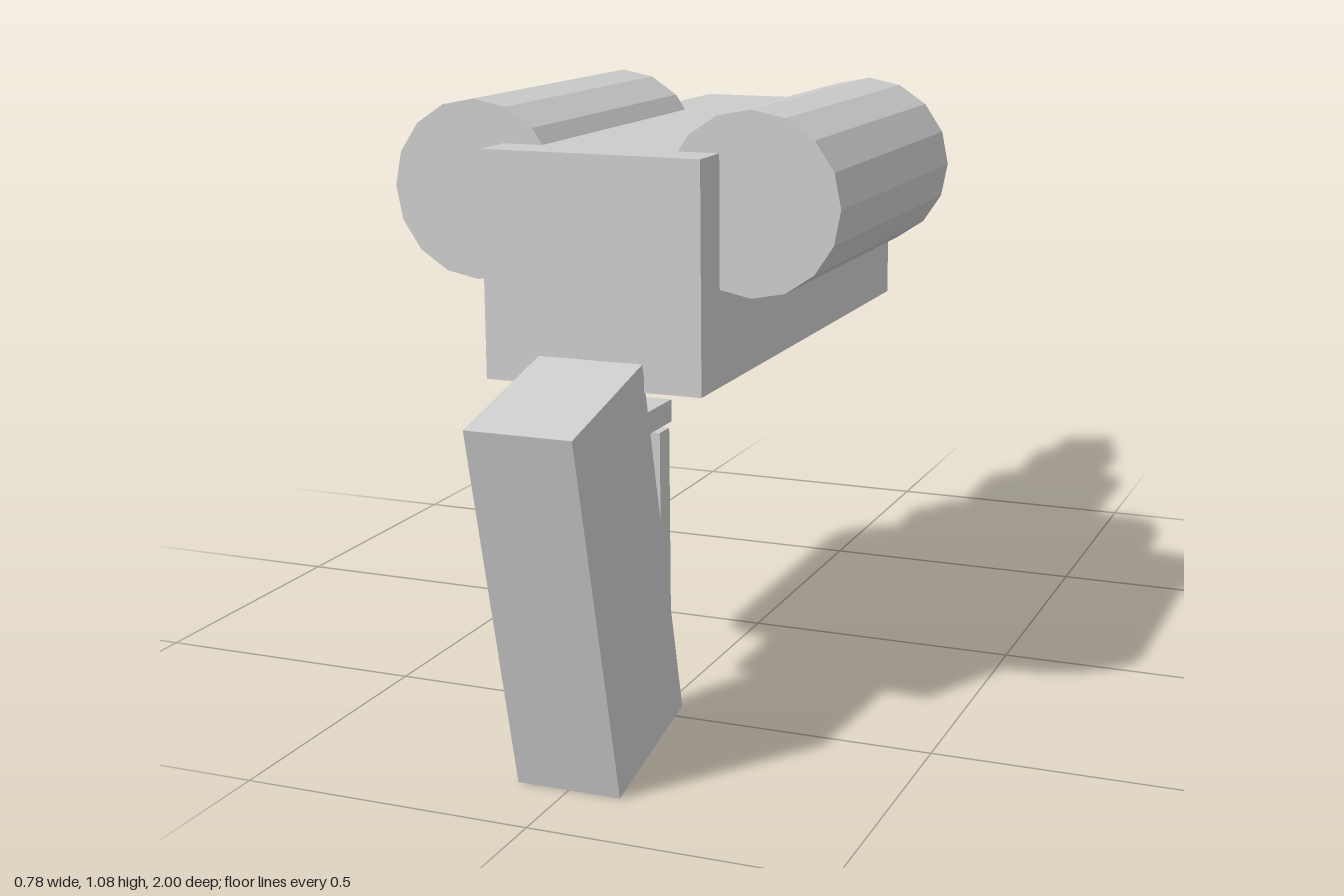
import * as THREE from 'three';

export function createModel() {
  const model = new THREE.Group();
  const material = new THREE.MeshStandardMaterial({ color: 0xcccccc, flatShading: true });

  function add(name, geometry, x, y, z) {
    const mesh = new THREE.Mesh(geometry, material);
    mesh.name = name;
    mesh.position.set(x, y, z);
    model.add(mesh);
    return mesh;
  }

  // Box given by its width and its y and z ranges, centred on x = 0
  const box = (name, w, y0, y1, z0, z1) =>
    add(name, new THREE.BoxGeometry(w, y1 - y0, z1 - z0), 0, (y0 + y1) / 2, (z0 + z1) / 2);

  // Faceted cylinder lying along z
  const rod = (name, r, sides, x, y, z0, z1) =>
    add(name, new THREE.CylinderGeometry(r, r, z1 - z0, sides).rotateX(Math.PI / 2), x, y, (z0 + z1) / 2);

  // Main housing and the cross bar that holds the side rods
  box('body', 0.375, 0.64, 1.013, -0.222, 0.738);
  box('rodBracket', 0.48, 0.883, 0.985, -0.226, -0.118);

  // Stepped barrel
  rod('barrelBase', 0.148, 16, 0, 0.828, -0.6, -0.2);
  rod('barrelMiddle', 0.093, 16, 0, 0.828, -0.865, -0.58);
  rod('muzzle', 0.062, 10, 0, 0.828, -1, -0.85);

  // Side tanks with their thin rods
  for (const [side, s] of [['left', 1], ['right', -1]]) {
    rod(side + 'Tank', 0.148, 16, s * 0.24, 0.935, 0.07, 0.66);
    rod(side + 'Rod', 0.042, 8, s * 0.24, 0.933, -0.168, 0.09);
  }

  // Slanted grip
  const grip = add('grip', new THREE.BoxGeometry(0.18, 0.64, 0.263), 0, 0.345, 0.797);
  grip.rotation.x = 0.235;

  // Trigger guard plate and upright bar
  box('guardPlate', 0.094, 0.541, 0.579, 0.53, 0.73);
  box('guardBar', 0.09, 0.055, 0.531, 0.535, 0.575);

  return model;
}
